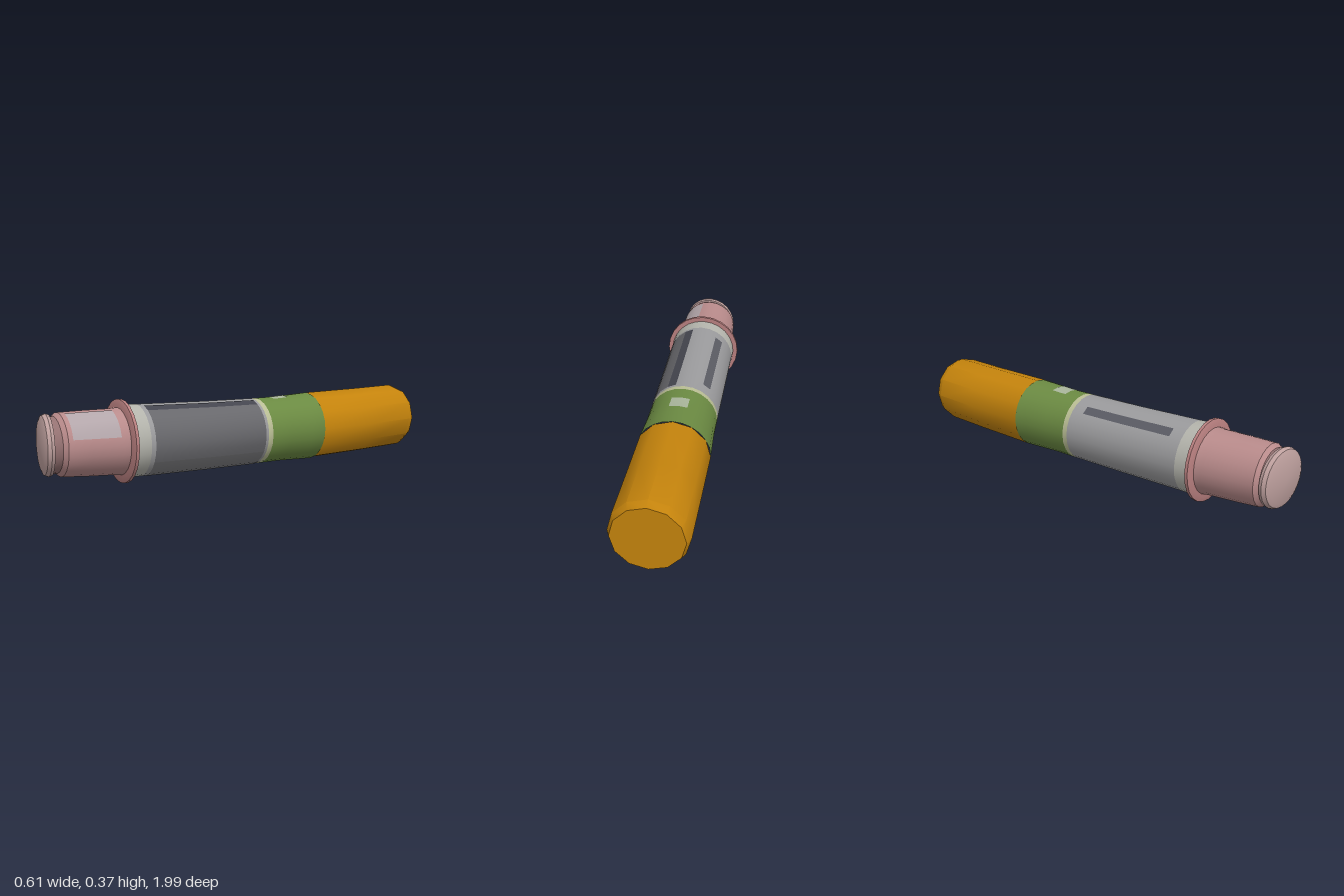
import * as THREE from 'three';
import { toCreasedNormals } from 'three/addons/utils/BufferGeometryUtils.js';

const STEP = Math.PI / 12;

// Slight upward bow of the tube's centre line towards the front
const centreY = (s) => 0.18 + 0.02 * s * s;

// Turned section: profile is [position along tube, radius] from back to front.
// from/steps pick a slice in 15-degree steps (0 = underside, 6 = left, 12 = top).
function section(name, color, profile, { from = 0, steps = 24, sides = steps, tilt = 0 } = {}) {
  const points = profile.map(([s, r]) => new THREE.Vector2(r, s));
  const lathe = new THREE.LatheGeometry(points, sides, from * STEP, steps * STEP);
  lathe.rotateX(Math.PI / 2);
  const p = lathe.attributes.position;
  for (let i = 0; i < p.count; i++) {
    const s = p.getZ(i);
    p.setY(i, p.getY(i) + centreY(s));
    p.setZ(i, s + tilt * p.getX(i));
  }
  const material = new THREE.MeshStandardMaterial({ color });
  const mesh = new THREE.Mesh(toCreasedNormals(lathe, 0.6), material);
  mesh.name = name;
  return mesh;
}

export function createModel() {
  const tube = new THREE.Group();
  tube.name = 'tube';

  // Faceted orange grip with a bevelled flat end
  tube.add(section('orangeGrip', 0xc4830c, [
    [-0.98, 0], [-0.98, 0.15], [-0.945, 0.165], [-0.7, 0.166], [-0.39, 0.167],
  ], { sides: 12 }));

  // Green collar, necking down to the body
  tube.add(section('greenCollar', 0x6b8a42, [
    [-0.39, 0.167], [-0.32, 0.164], [-0.2, 0.159], [-0.09, 0.159],
  ]));
  tube.add(section('collarHighlight', 0xa9b59b, [
    [-0.25, 0.163], [-0.2, 0.1605], [-0.17, 0.1605],
  ], { from: 11, steps: 2 }));
  tube.add(section('collarBorder', 0xb9bd94, [[-0.09, 0.159], [-0.065, 0.159]]));

  // Grey body with a pale front band
  const body = [[-0.065, 0.159], [0.2, 0.16], [0.54, 0.162]];
  tube.add(section('greyBody', 0x9b9b9d, body));
  tube.add(section('paleBand', 0xb4b4ac, [
    [0.54, 0.162], [0.6, 0.164], [0.62, 0.164],
  ]));

  // Label panels laid just over the body
  const label = (name, color, from, steps, start = -0.05, end = 0.52) =>
    tube.add(section(name, color, [
      [start, 0.1605], [0.2, 0.1615], [end, 0.1635],
    ], { from, steps }));
  label('darkSidePanel', 0x68686c, 4, 6);
  label('topLeftStripe', 0x45464f, 10, 1);
  label('topRightStripe', 0x5a5b63, 14, 1, 0, 0.48);
  label('lowerPanel', 0x7d7d80, 1, 3);

  // Thin pink flange
  tube.add(section('flange', 0xb98080, [
    [0.608, 0.1], [0.608, 0.187], [0.622, 0.187], [0.63, 0.165], [0.63, 0.1],
  ]));

  // Tapered pink cap with a paler slice
  tube.add(section('cap', 0xb98b8b, [
    [0.62, 0.152], [0.66, 0.147], [0.8, 0.143], [0.9, 0.138], [0.92, 0.12],
  ]));
  tube.add(section('capHighlight', 0xb3a6aa, [
    [0.67, 0.1482], [0.8, 0.1445], [0.88, 0.1405],
  ], { from: 7, steps: 4 }));

  // Groove and slightly skewed end lip
  tube.add(section('capGroove', 0x957272, [[0.9, 0.122], [0.945, 0.122]], { tilt: 0.1 }));
  tube.add(section('capLip', 0xbd9f9d, [
    [0.935, 0.115], [0.938, 0.13], [0.952, 0.134], [0.968, 0.127], [0.976, 0.108], [0.985, 0],
  ], { tilt: 0.13 }));

  // The tube lies slightly askew
  tube.rotation.y = -0.17;
  tube.position.set(-0.01, 0, -0.005);

  const model = new THREE.Group();
  model.name = 'model';
  model.add(tube);
  return model;
}
